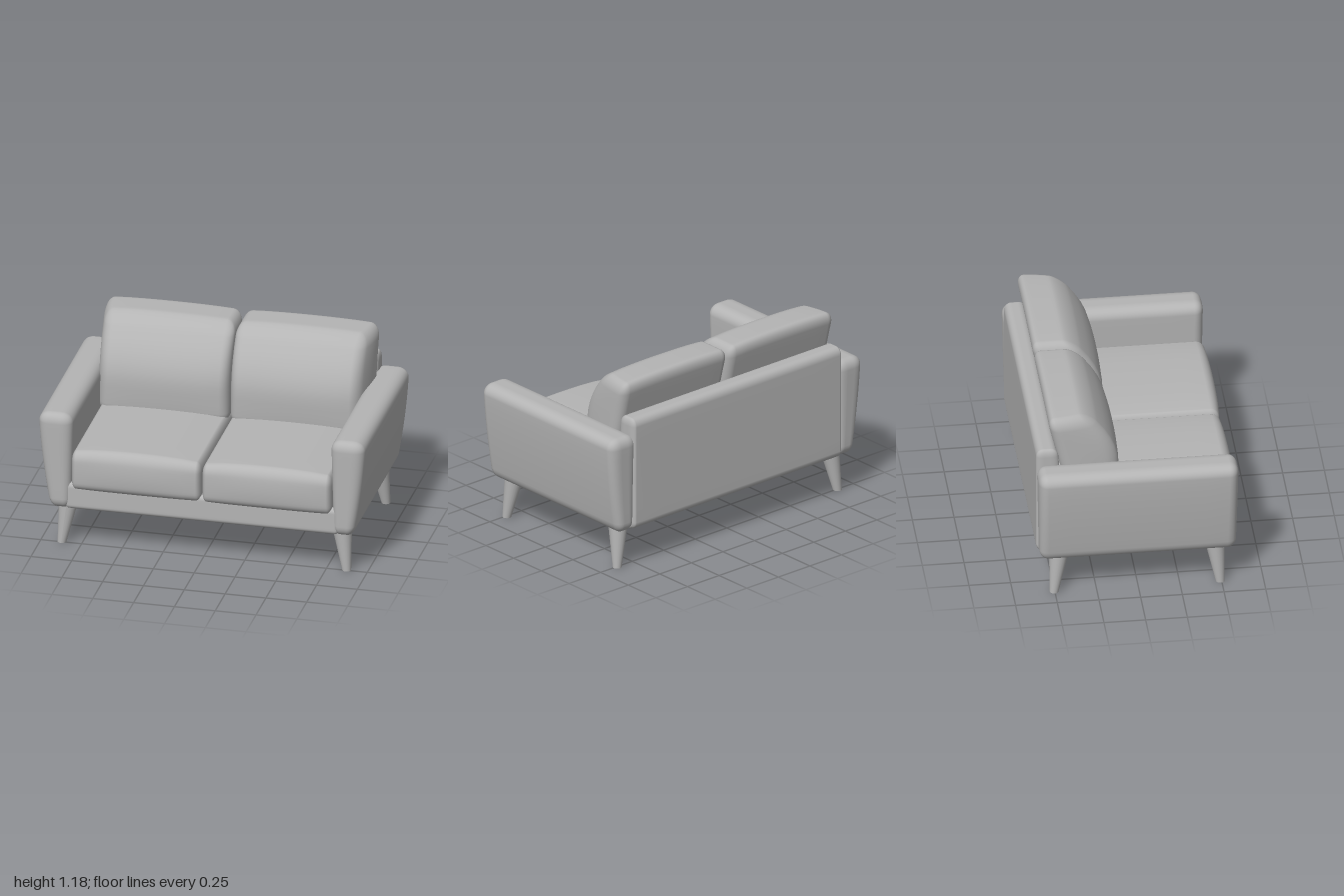
import * as THREE from 'three';
import { mergeVertices } from 'three/addons/utils/BufferGeometryUtils.js';

const CORNER = 4, MIDDLE = 8, N = CORNER * 2 + MIDDLE;

// Box with rounded edges (own radius per axis), fine grid, then bent by a rule.
// min/max are given for the +x side; side = -1 mirrors the part.
function softBox(min, max, radius, side = 1, bend = () => {}) {
  let geo = new THREE.BoxGeometry(2, 2, 2, N, N, N);
  geo.deleteAttribute('normal');
  geo.deleteAttribute('uv');
  geo = mergeVertices(geo, 1e-4);
  const pos = geo.attributes.position;
  const v = new THREE.Vector3();
  for (let i = 0; i < pos.count; i++) {
    v.fromBufferAttribute(pos, i);
    v.x *= side;
    const inner = [], dir = [];
    for (let a = 0; a < 3; a++) {
      const lo = min[a] + radius[a], hi = max[a] - radius[a];
      const k = Math.round((v.getComponent(a) + 1) / 2 * N);
      if (k < CORNER) { inner[a] = lo; dir[a] = k / CORNER - 1; }
      else if (k > N - CORNER) { inner[a] = hi; dir[a] = (k - N + CORNER) / CORNER; }
      else { inner[a] = lo + (hi - lo) * (k - CORNER) / MIDDLE; dir[a] = 0; }
    }
    const len = Math.hypot(...dir);
    v.set(...inner.map((c, a) => c + dir[a] / len * radius[a]));
    bend(v);
    pos.setXYZ(i, v.x * side, v.y, v.z);
  }
  geo.computeVertexNormals();
  return geo;
}

// 1 in the middle of a range, 0 at its ends
const dome = (t, lo, hi) => {
  const u = (2 * t - lo - hi) / (hi - lo);
  return Math.max(0, 1 - u * u);
};

export function createModel() {
  const model = new THREE.Group();
  model.name = 'sofa';
  const fabric = new THREE.MeshStandardMaterial({ color: 0xb4b4b4 });
  fabric.name = 'grey';
  const add = (name, geo) => {
    const mesh = new THREE.Mesh(geo, fabric);
    mesh.name = name;
    model.add(mesh);
    return mesh;
  };

  // Seat frame between the arms
  add('seatFrame', softBox([-0.84, 0.25, -0.58], [0.84, 0.42, 0.57], [0.03, 0.03, 0.03]));

  // Back panel, thinner towards its rounded top
  add('backPanel', softBox([-0.83, 0.25, -0.605], [0.83, 0.97, -0.42], [0.025, 0.05, 0.06], 1, v => {
    const f = (v.z + 0.605) / 0.185;
    v.z -= 0.055 * f * (v.y - 0.25) / 0.72;
  }));

  for (const side of [1, -1]) {
    const label = side > 0 ? 'left' : 'right';

    // Arm: the outer face curves in towards the floor
    add(label + 'Arm', softBox([0.79, 0.25, -0.605], [1, 0.87, 0.595], [0.07, 0.065, 0.055], side, v => {
      const down = 1 - (v.y - 0.25) / 0.62;
      const out = (v.x - 0.79) / 0.21;
      v.x += -0.07 * out * Math.pow(Math.max(0, down), 1.6) + 0.015 * (1 - out) * down;
      v.z -= 0.012 * down * Math.sign(v.z);
    }));

    // Seat cushion with crowned top and bulging front
    add(label + 'SeatCushion', softBox([0.003, 0.378, -0.45], [0.797, 0.622, 0.585], [0.03, 0.055, 0.05], side, v => {
      const across = dome(v.x, 0.003, 0.797);
      if (v.y > 0.5) v.y += 0.03 * Math.sqrt(across) * (v.y - 0.5) / 0.122;
      if (v.z > 0) v.z += 0.025 * (v.z / 0.585) * dome(v.y, 0.35, 0.68) * Math.sqrt(across);
    }));

    // Back cushion: leans back, front face curves over to the top
    add(label + 'BackCushion', softBox([0.003, 0.58, 0], [0.838, 1.165, 1], [0.055, 0.07, 0.2], side, v => {
      const f = v.z;
      const across = dome(v.x, 0.003, 0.838);
      const u = Math.max(0, (v.y - 0.8) / 0.38);
      const back = -0.465 - 0.25 * (v.y - 0.87);
      const front = -0.115 - 0.2 * u * u + 0.025 * Math.sqrt(across) * dome(v.y, 0.5, 1.2);
      v.z = back + f * (front - back);
      if (v.x > 0.42) v.x -= 0.05 * f * f * (v.x - 0.42) / 0.418;
      if (v.y > 0.9) v.y += 0.018 * Math.sqrt(across) * (v.y - 0.9) / 0.265;
    }));

    // Tapered legs, outer edges upright
    for (const [place, foot, lean] of [['Front', 0.492, -0.03], ['Back', -0.504, 0.034]]) {
      const geo = new THREE.CylinderGeometry(0.06, 0.027, 0.27, 20);
      const p = geo.attributes.position;
      for (let i = 0; i < p.count; i++) {
        const t = p.getY(i) / 0.27 + 0.5;
        p.setXYZ(i, p.getX(i) - side * 0.036 * t, p.getY(i), p.getZ(i) + lean * t);
      }
      geo.computeVertexNormals();
      add(label + place + 'Leg', geo).position.set(side * 0.872, 0.135, foot);
    }
  }
  return model;
}
